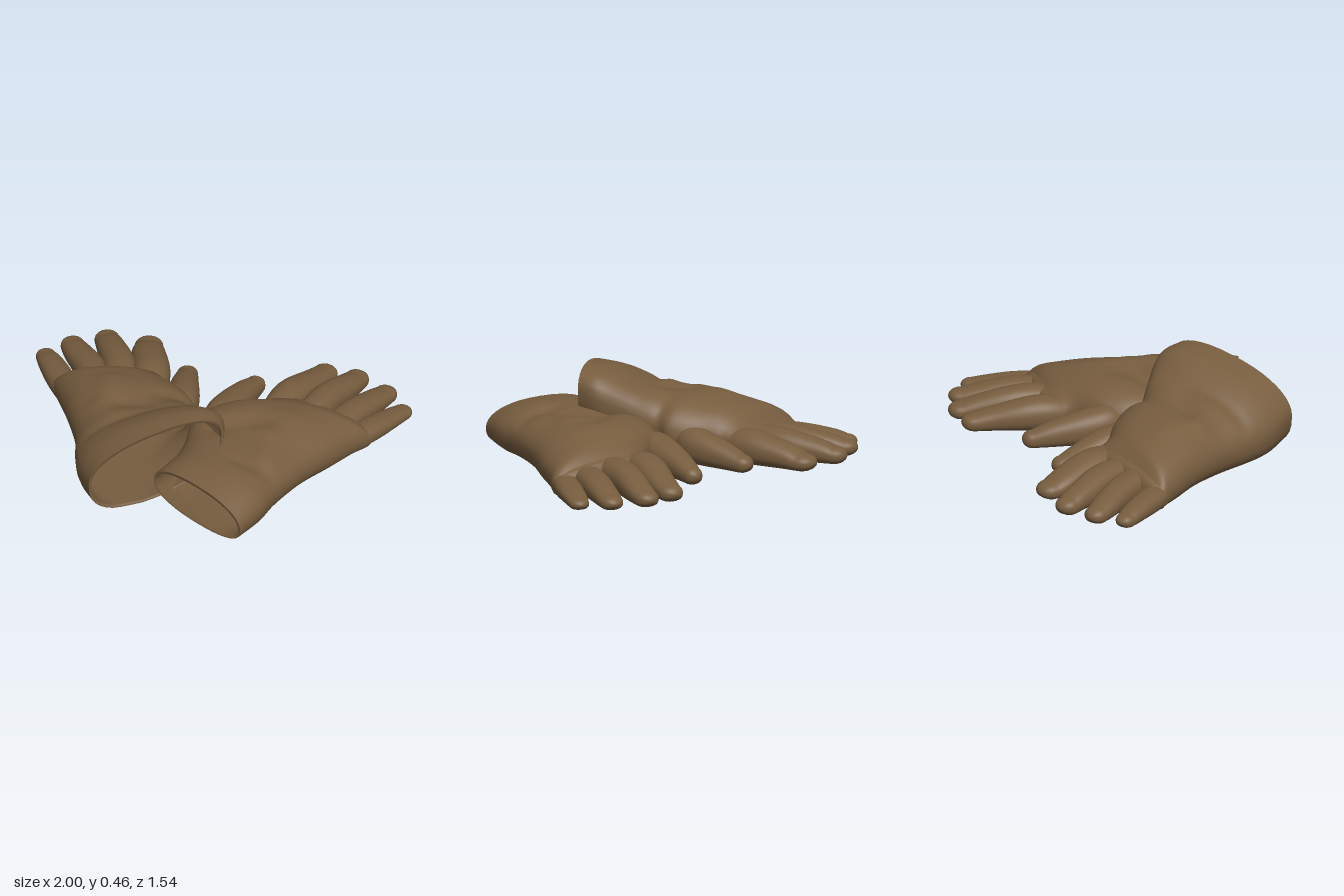
import * as THREE from 'three';

const N = 40;        // points around each cross-section
const FLOOR = 0.008; // lowest height of the flattened palms

const leather = new THREE.MeshStandardMaterial({ color: 0x775d3f, side: THREE.DoubleSide });
leather.name = 'brown leather';

// Smooth interpolation through a list of equal-length number rows
function sample(rows, steps) {
  const out = [], last = rows.length - 1;
  for (let s = 0; s <= steps; s++) {
    const t = (s / steps) * last, i = Math.min(Math.floor(t), last - 1), f = t - i;
    const p0 = rows[Math.max(i - 1, 0)], p1 = rows[i], p2 = rows[i + 1], p3 = rows[Math.min(i + 2, last)];
    out.push(p1.map((b, k) => {
      const m1 = (p2[k] - p0[k]) / 2, m2 = (p3[k] - b) / 2, d = p2[k] - b;
      return b + m1 * f + (3 * d - 2 * m1 - m2) * f * f + (m1 + m2 - 2 * d) * f * f * f;
    }));
  }
  return out;
}

// One ring. Section: left edge xyz, right edge xyz, rise above and drop below the edge line
function ring([ax, ay, az, bx, by, bz, up, down], inset = 0) {
  const pts = [], half = Math.hypot(bx - ax, by - ay, bz - az) / 2;
  const k = Math.max(1 - inset / half, 0);
  for (let i = 0; i < N; i++) {
    const th = (i / N) * Math.PI * 2, c = Math.cos(th), s = Math.sin(th);
    const u = 0.5 - 0.5 * k * Math.sign(c) * Math.abs(c) ** 0.87;
    const h = s > 0 ? (up - inset) * s ** 0.92 : -(down - inset) * (-s) ** 0.8;
    const y = ay + (by - ay) * u + h;
    pts.push(new THREE.Vector3(ax + (bx - ax) * u, Math.max(y, FLOOR + inset), az + (bz - az) * u));
  }
  return pts;
}

// Rounded end continuing the last section
function cap(sections, length) {
  const a = sections[sections.length - 2], b = sections[sections.length - 1];
  const dx = b[0] + b[3] - a[0] - a[3], dz = b[2] + b[5] - a[2] - a[5], l = Math.hypot(dx, dz);
  const mid = [0, 1, 2].map(k => (b[k] + b[k + 3]) / 2), out = [];
  for (let j = 1; j <= 6; j++) {
    const w = (j / 6) * Math.PI / 2, s = Math.max(Math.cos(w), 0.01), d = Math.sin(w) * length;
    const e = b.map((v, k) => k < 6 ? mid[k % 3] + (v - mid[k % 3]) * s : v * s);
    for (const k of [0, 3]) { e[k] += dx / l * d; e[k + 2] += dz / l * d; }
    out.push(e);
  }
  return sections.concat(out);
}

// Skin a list of rings
function skin(rings, name) {
  const pos = [], idx = [];
  rings.forEach(r => r.forEach(p => pos.push(p.x, p.y, p.z)));
  for (let r = 0; r < rings.length - 1; r++) for (let i = 0; i < N; i++) {
    const a = r * N + i, b = r * N + (i + 1) % N;
    idx.push(a, b, a + N, b, b + N, a + N);
  }
  const g = new THREE.BufferGeometry();
  g.setAttribute('position', new THREE.Float32BufferAttribute(pos, 3));
  g.setIndex(idx);
  g.computeVertexNormals();
  const mesh = new THREE.Mesh(g, leather);
  mesh.name = name;
  return mesh;
}

// Raise or sink the upper skin along line segments: x1, z1, x2, z2, height, width
function crease(rings, folds) {
  rings.forEach(r => r.forEach((p, i) => {
    const top = Math.max(Math.sin((i / N) * Math.PI * 2), 0);
    let d = 0;
    for (const [x1, z1, x2, z2, amp, w] of folds) {
      const ex = x2 - x1, ez = z2 - z1;
      const t = THREE.MathUtils.clamp(((p.x - x1) * ex + (p.z - z1) * ez) / (ex * ex + ez * ez), 0, 1);
      const q = Math.hypot(p.x - x1 - ex * t, p.z - z1 - ez * t) / w;
      d += amp * Math.exp(-q * q);
    }
    p.y += d * top;
  }));
  return rings;
}

// Finger: path points of x, z, half width, top height; it grows out from inside the palm
function finger(name, path) {
  const pts = sample(path, 20);
  const secs = pts.map(([x, z, r, top], i) => {
    const a = pts[Math.max(i - 1, 0)], b = pts[Math.min(i + 1, pts.length - 1)];
    const dx = b[0] - a[0], dz = b[1] - a[1], l = Math.hypot(dx, dz);
    const px = -dz / l * r, pz = dx / l * r, h = (top - FLOOR) / 2, y = FLOOR + h;
    return [x - px, y, z - pz, x + px, y, z + pz, h, h];
  });
  return skin(cap(secs, path[path.length - 1][2]).map(s => ring(s)), name);
}

function glove(name, sections, folds, fingers) {
  const g = new THREE.Group();
  g.name = name;
  const secs = sample(sections, 70);
  // Back, palm and cuff in one skin
  const outer = crease(cap(secs, 0.05).map(s => ring(s)), folds);
  g.add(skin(outer, 'handAndCuff'));
  // Lining runs out of the hand and turns over the rim
  const inner = crease(secs.slice(0, 38).map(s => ring(s, 0.014)), folds).reverse();
  const deep = inner[0], centre = new THREE.Vector3();
  deep.forEach(p => centre.addScaledVector(p, 1 / N));
  g.add(skin([deep.map(() => centre.clone()), ...inner, outer[0]], 'liningAndRim'));
  for (const [part, path] of Object.entries(fingers)) g.add(finger(part, path));
  return g;
}

export function createModel() {
  const model = new THREE.Group();
  model.name = 'pairOfGloves';

  // Glove lying flat
  model.add(glove('flatGlove', [
    [-0.10, 0.16, 0.52, 0.43, 0.11, 0.77, 0.125, 0.12],
    [-0.07, 0.14, 0.42, 0.50, 0.12, 0.61, 0.15, 0.14],
    [-0.04, 0.13, 0.31, 0.54, 0.12, 0.45, 0.155, 0.14],
    [-0.03, 0.13, 0.18, 0.625, 0.11, 0.22, 0.155, 0.14],
    [-0.035, 0.13, 0.01, 0.73, 0.09, 0.02, 0.17, 0.14],
    [0.05, 0.12, -0.14, 0.80, 0.075, -0.12, 0.16, 0.13],
    [0.235, 0.105, -0.25, 0.85, 0.06, -0.20, 0.135, 0.11],
    [0.28, 0.095, -0.345, 0.865, 0.055, -0.235, 0.09, 0.10],
  ], [
    [0.47, -0.05, 0.42, 0.13, 0.012, 0.06], [0.42, 0.13, 0.46, 0.30, 0.012, 0.05],
    [0.34, 0.04, 0.15, 0.14, -0.025, 0.06], [0.36, 0.36, 0.30, 0.18, -0.02, 0.05],
    [0.30, 0.40, 0.50, 0.42, -0.015, 0.04],
  ], {
    indexFinger: [[0.35, -0.16, 0.06, 0.12], [0.35, -0.28, 0.09, 0.17], [0.38, -0.43, 0.093, 0.18], [0.45, -0.61, 0.076, 0.13], [0.482, -0.705, 0.066, 0.10]],
    middleFinger: [[0.49, -0.16, 0.06, 0.12], [0.52, -0.28, 0.085, 0.17], [0.56, -0.45, 0.083, 0.172], [0.62, -0.61, 0.074, 0.13], [0.65, -0.705, 0.066, 0.095]],
    ringFinger: [[0.61, -0.12, 0.06, 0.11], [0.66, -0.24, 0.08, 0.145], [0.725, -0.40, 0.079, 0.145], [0.79, -0.55, 0.071, 0.11], [0.825, -0.63, 0.062, 0.085]],
    littleFinger: [[0.69, -0.08, 0.04, 0.09], [0.77, -0.20, 0.062, 0.115], [0.84, -0.32, 0.07, 0.11], [0.912, -0.455, 0.061, 0.085], [0.946, -0.515, 0.053, 0.07]],
    thumb: [[0.12, -0.03, 0.06, 0.14], [0.085, -0.12, 0.092, 0.20], [0.10, -0.25, 0.09, 0.185], [0.135, -0.42, 0.068, 0.14], [0.16, -0.52, 0.052, 0.10]],
  }));

  // Glove whose cuff rests on the other
  model.add(glove('raisedGlove', [
    [-0.40, 0.19, 0.70, 0.215, 0.36, 0.30, 0.17, 0.25],
    [-0.49, 0.15, 0.56, 0.18, 0.33, 0.19, 0.19, 0.23],
    [-0.545, 0.13, 0.43, 0.05, 0.25, 0.075, 0.18, 0.19],
    [-0.60, 0.12, 0.24, -0.045, 0.18, -0.01, 0.175, 0.17],
    [-0.70, 0.11, 0.04, -0.05, 0.15, -0.10, 0.19, 0.15],
    [-0.785, 0.09, -0.11, -0.13, 0.13, -0.20, 0.175, 0.14],
    [-0.83, 0.075, -0.19, -0.245, 0.12, -0.28, 0.15, 0.12],
    [-0.855, 0.06, -0.225, -0.275, 0.10, -0.375, 0.10, 0.11],
  ], [
    [-0.50, -0.08, -0.50, 0.12, 0.012, 0.05], [-0.50, 0.14, -0.40, 0.24, 0.012, 0.05],
    [-0.38, 0.12, -0.22, 0.16, -0.02, 0.05], [-0.50, 0.38, -0.05, 0.14, -0.015, 0.04],
  ], {
    indexFinger: [[-0.36, -0.17, 0.06, 0.12], [-0.35, -0.28, 0.09, 0.17], [-0.37, -0.42, 0.1, 0.185], [-0.432, -0.60, 0.09, 0.14], [-0.455, -0.69, 0.075, 0.10]],
    middleFinger: [[-0.44, -0.16, 0.06, 0.12], [-0.485, -0.28, 0.085, 0.17], [-0.55, -0.45, 0.088, 0.172], [-0.64, -0.62, 0.074, 0.13], [-0.678, -0.69, 0.066, 0.10]],
    ringFinger: [[-0.55, -0.13, 0.06, 0.11], [-0.61, -0.24, 0.08, 0.16], [-0.685, -0.39, 0.082, 0.155], [-0.79, -0.53, 0.073, 0.12], [-0.838, -0.6, 0.063, 0.095]],
    littleFinger: [[-0.66, -0.07, 0.04, 0.10], [-0.75, -0.19, 0.064, 0.125], [-0.825, -0.30, 0.073, 0.122], [-0.912, -0.43, 0.064, 0.10], [-0.95, -0.485, 0.053, 0.08]],
    thumb: [[-0.20, -0.08, 0.06, 0.14], [-0.16, -0.16, 0.092, 0.195], [-0.16, -0.26, 0.09, 0.185], [-0.186, -0.41, 0.072, 0.14], [-0.20, -0.51, 0.056, 0.10]],
  }));
  return model;
}
